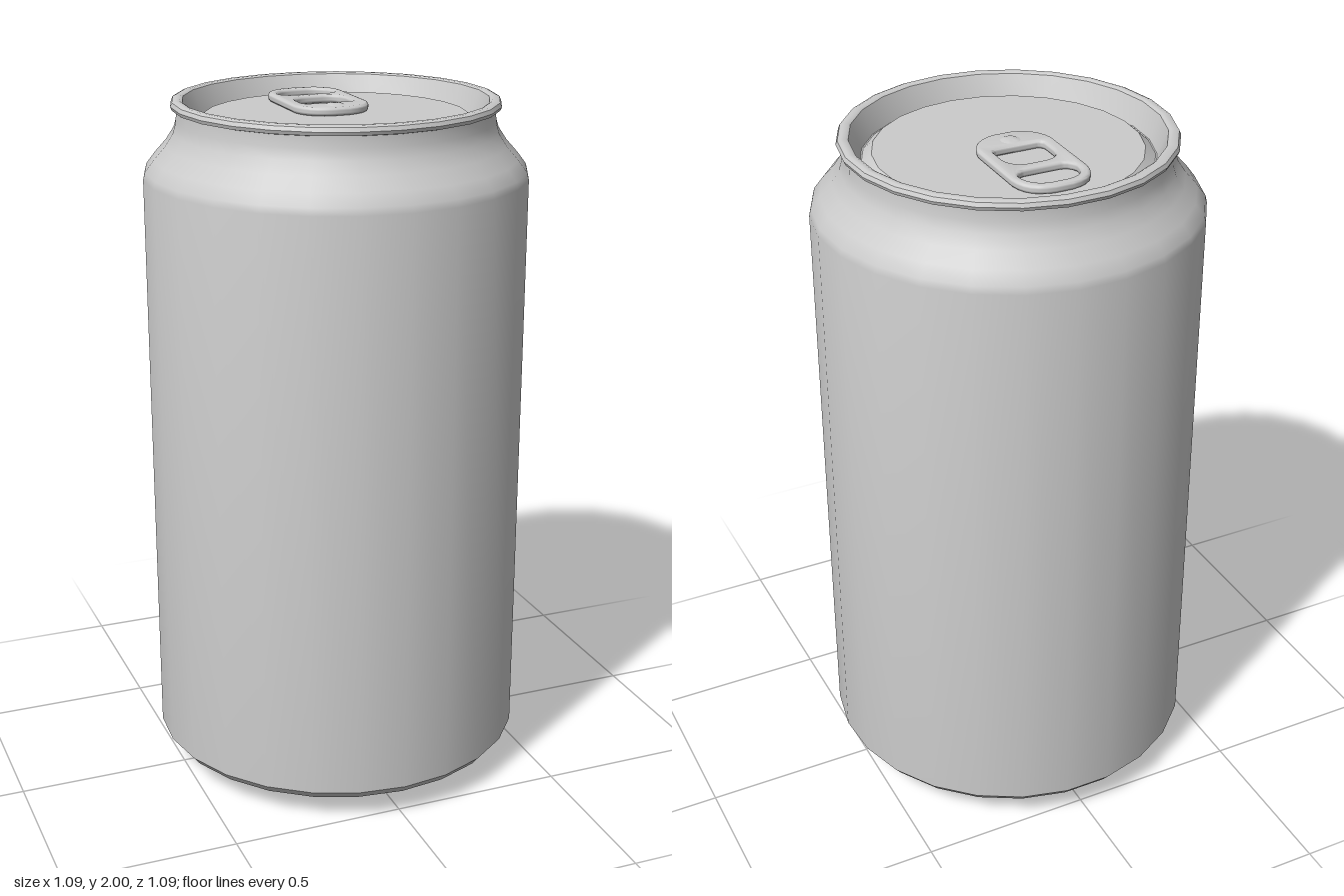
import * as THREE from 'three';
import { toCreasedNormals } from 'three/addons/utils/BufferGeometryUtils.js';

const SIDES = 25;
const PANEL_Y = 1.952;

const material = new THREE.MeshStandardMaterial({ color: 0xcccccc, side: THREE.DoubleSide });

function add(group, name, geometry, crease = 0.6) {
  const mesh = new THREE.Mesh(toCreasedNormals(geometry, crease), material);
  mesh.name = name;
  group.add(mesh);
  return mesh;
}

// Surface of revolution from [radius, height] pairs
function lathe(points, sides = SIDES) {
  return new THREE.LatheGeometry(points.map(([r, y]) => new THREE.Vector2(r, y)), sides);
}

// Rounded outline with separate radii for its far (top) and near (bottom) ends
function roundedOutline(path, halfWidth, y0, y1, rBottom, rTop) {
  const w = halfWidth;
  path.moveTo(-w + rBottom, y0);
  path.lineTo(w - rBottom, y0);
  path.quadraticCurveTo(w - rBottom * 0.15, y0 + rBottom * 0.15, w, y0 + rBottom);
  path.lineTo(w, y1 - rTop);
  path.quadraticCurveTo(w - rTop * 0.1, y1 - rTop * 0.1, w - rTop, y1);
  path.lineTo(-w + rTop, y1);
  path.quadraticCurveTo(-w + rTop * 0.1, y1 - rTop * 0.1, -w, y1 - rTop);
  path.lineTo(-w, y0 + rBottom);
  path.quadraticCurveTo(-w + rBottom * 0.15, y0 + rBottom * 0.15, -w + rBottom, y0);
  return path;
}

// Pull ring with a finger hole and a smaller window near the rivet
function pullTab() {
  const shape = roundedOutline(new THREE.Shape(), 0.111, -0.045, 0.328, 0.085, 0.085);
  shape.holes.push(
    roundedOutline(new THREE.Path(), 0.084, 0.203, 0.298, 0.03, 0.06),
    roundedOutline(new THREE.Path(), 0.075, 0.05, 0.168, 0.015, 0.05),
  );
  const bevel = 0.009;
  const geometry = new THREE.ExtrudeGeometry(shape, {
    depth: 0.006,
    bevelThickness: bevel,
    bevelSize: bevel,
    bevelOffset: -bevel,
    bevelSegments: 3,
    curveSegments: 6,
  });
  return geometry.rotateX(-Math.PI / 2).translate(0, PANEL_Y + bevel, 0);
}

export function createModel() {
  const can = new THREE.Group();
  can.name = 'drinkCan';

  // Domed underside inside the foot ring
  add(can, 'base', lathe([
    [0, 0.055], [0.18, 0.048], [0.3, 0.034], [0.36, 0.022], [0.375, 0.003],
  ]));

  // Foot ring, flared bottom, straight wall, shoulder and neck
  add(can, 'body', lathe([
    [0.375, 0.003], [0.385, 0], [0.396, 0.009], [0.403, 0.03], [0.425, 0.045],
    [0.485, 0.058], [0.525, 0.075], [0.545, 0.1],
    [0.545, 1.785], [0.54, 1.805], [0.515, 1.838], [0.482, 1.875],
    [0.459, 1.91], [0.45, 1.94], [0.448, 1.972],
  ]));

  // Rolled lip
  add(can, 'rim', lathe([
    [0.448, 1.972], [0.46, 1.975], [0.464, 1.985], [0.459, 1.996],
    [0.45, 2], [0.437, 2], [0.43, 1.996],
  ]));

  // Countersunk groove rising to the flat panel
  add(can, 'lid', lathe([
    [0.43, 1.996], [0.402, 1.928], [0.398, 1.928], [0.37, PANEL_Y], [0, PANEL_Y],
  ]), 0.4);

  add(can, 'pullTab', pullTab(), 0.7);

  // Low rivet holding the tab
  const rivet = add(can, 'rivet', lathe([[0.03, 0], [0.02, 0.004], [0, 0.006]], 16));
  rivet.position.set(0, PANEL_Y + 0.023, -0.01);

  return can;
}
